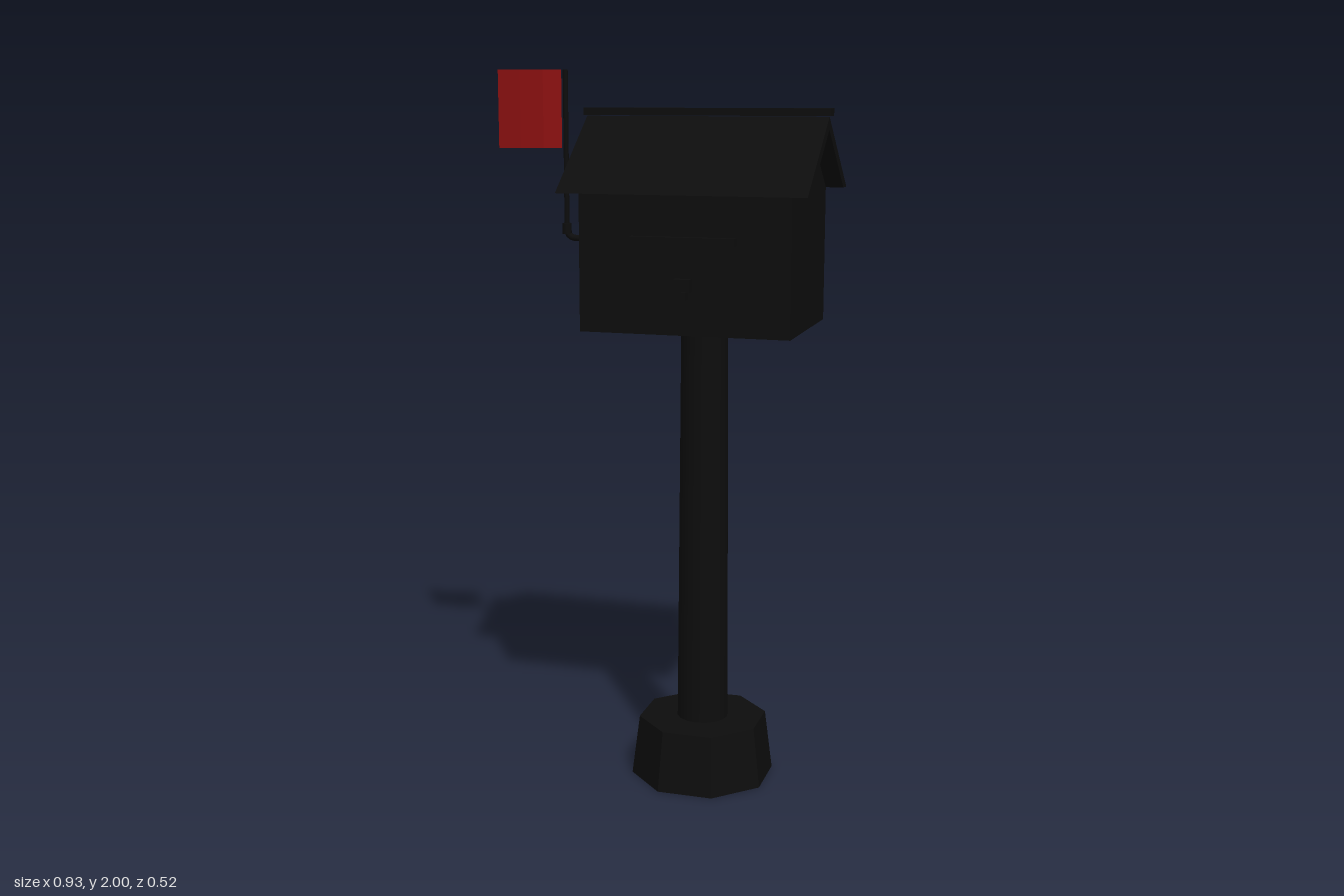
import * as THREE from 'three';

const black = new THREE.MeshStandardMaterial({ name: 'blackPaint', color: 0x0d0d0d });
const red = new THREE.MeshStandardMaterial({ name: 'redFlag', color: 0x8b1010, side: THREE.DoubleSide });

const CX = 0.117; // centre line of post and house

function add(group, name, geometry, x = 0, y = 0, z = 0, material = black) {
  const mesh = new THREE.Mesh(geometry, material);
  mesh.name = name;
  mesh.position.set(x, y, z);
  group.add(mesh);
  return mesh;
}

// Extrude a (z, y) outline along x, centred on x = 0
function prismAlongX(points, length) {
  const shape = new THREE.Shape(points.map(([z, y]) => new THREE.Vector2(z, y)));
  const g = new THREE.ExtrudeGeometry(shape, { depth: length, bevelEnabled: false });
  return g.translate(0, 0, -length / 2).rotateY(Math.PI / 2);
}

// Cylinder with flat sides facing the axes
function octagon(rTop, rBottom, h) {
  return new THREE.CylinderGeometry(rTop, rBottom, h, 8).toNonIndexed().rotateY(Math.PI / 8);
}

export function createModel() {
  const model = new THREE.Group();
  model.name = 'mailbox';

  // Footing and post
  const footing = octagon(0.183, 0.205, 0.172);
  footing.computeVertexNormals();
  add(model, 'footing', footing, CX, 0.086, 0);
  add(model, 'post', new THREE.CylinderGeometry(0.065, 0.073, 1.16, 16), CX, 0.74, 0);

  // House body with gable ends
  add(model, 'houseBody', prismAlongX([
    [-0.213, 1.31], [0.213, 1.31], [0.213, 1.69], [0, 1.85], [-0.213, 1.69],
  ], 0.578), CX, 0, 0);

  // Overhanging roof shell and ridge cap
  add(model, 'roof', prismAlongX([
    [-0.26, 1.68], [-0.215, 1.68], [0, 1.842], [0.215, 1.68], [0.26, 1.68], [0, 1.876],
  ], 0.676), CX, 0, 0);
  add(model, 'ridgeCap', new THREE.BoxGeometry(0.688, 0.02, 0.04), CX + 0.002, 1.888, 0);

  // Mail slot flap and lock on the front
  add(model, 'slotFlap', new THREE.BoxGeometry(0.285, 0.02, 0.02), CX, 1.56, 0.221);
  add(model, 'lockPlate', new THREE.BoxGeometry(0.044, 0.034, 0.024), CX, 1.444, 0.224);
  add(model, 'lockKnob', new THREE.BoxGeometry(0.026, 0.022, 0.028), CX, 1.418, 0.226);

  // Bent arm, collar and pole carrying the flag
  const P = (x, y) => new THREE.Vector3(x, y, 0);
  const path = new THREE.CurvePath();
  path.add(new THREE.LineCurve3(P(-0.16, 1.54), P(-0.255, 1.54)));
  path.add(new THREE.QuadraticBezierCurve3(P(-0.255, 1.54), P(-0.284, 1.54), P(-0.284, 1.568)));
  add(model, 'flagArm', new THREE.TubeGeometry(path, 20, 0.009, 10));
  add(model, 'flagCollar', new THREE.CylinderGeometry(0.013, 0.013, 0.03, 12), -0.284, 1.566, 0);
  add(model, 'flagPole', new THREE.CylinderGeometry(0.007, 0.007, 0.44, 10), -0.284, 1.78, 0);

  // Gently waving flag sheet
  const wave = [[-0.465, 0.045], [-0.4, 0.046], [-0.335, 0.04], [-0.288, 0.021]];
  let sheet = new THREE.PlaneGeometry(1, 0.212, wave.length - 1, 1);
  const pos = sheet.attributes.position;
  for (let i = 0; i < pos.count; i++) {
    const [x, z] = wave[i % wave.length];
    pos.setX(i, x);
    pos.setZ(i, z);
  }
  sheet = sheet.toNonIndexed();
  sheet.computeVertexNormals();
  add(model, 'flag', sheet, 0, 1.894, 0, red);

  return model;
}
